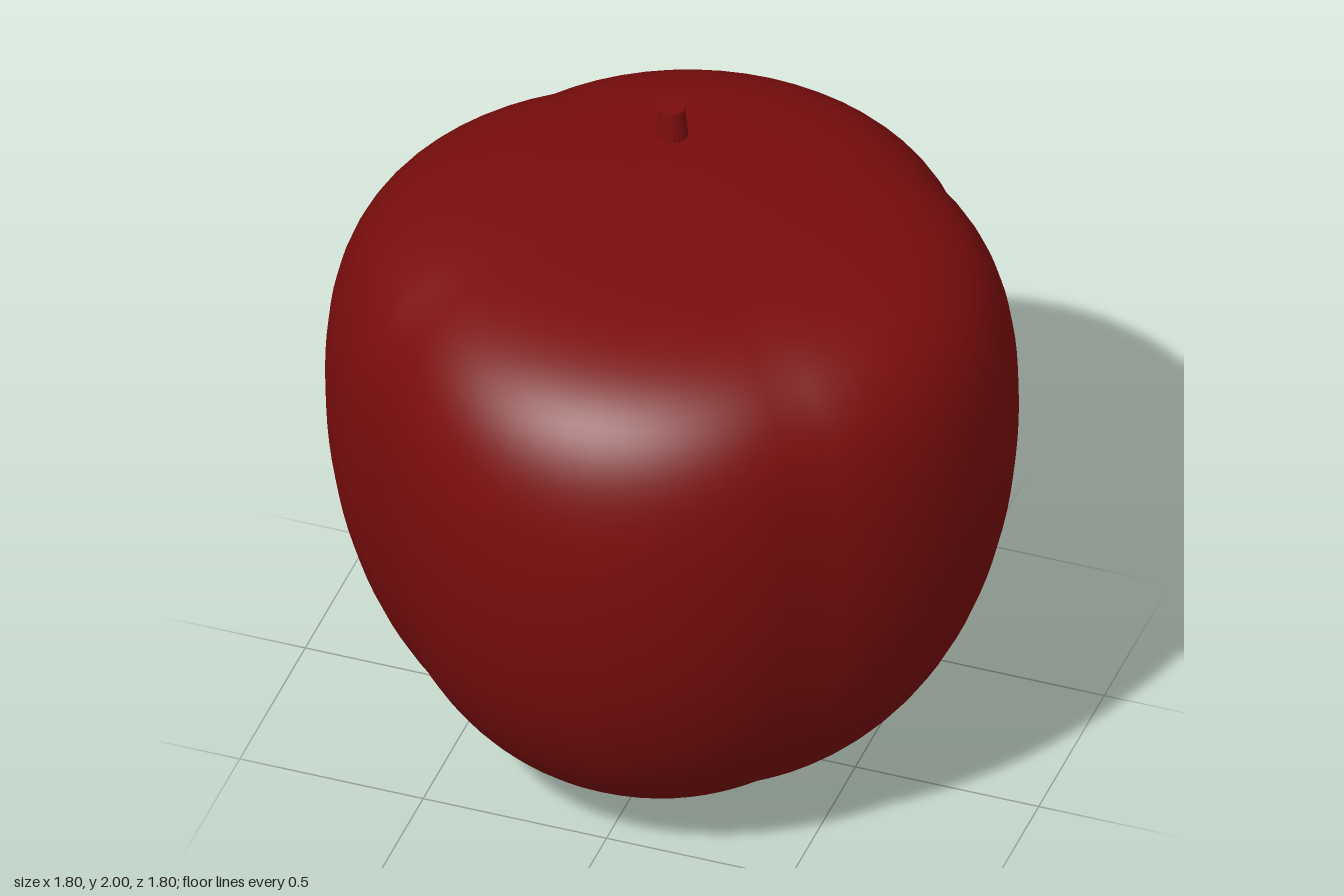
import * as THREE from 'three';
import { mergeVertices } from 'three/addons/utils/BufferGeometryUtils.js';

const TOP = 1.675, WIDEST = 1.1, RADIUS = 0.9;

// Half outline from the bottom pole to the top pole
function bodyProfile() {
  const v = (x, y) => new THREE.Vector2(x, y);
  const lower = new THREE.CubicBezierCurve(v(0, 0), v(0.65, 0), v(RADIUS, 0.55), v(RADIUS, WIDEST));
  const upper = new THREE.CubicBezierCurve(v(RADIUS, WIDEST), v(RADIUS, 1.65), v(0.65, TOP), v(0, TOP));
  return [...lower.getPoints(28), ...upper.getPoints(28).slice(1)];
}

// Four shallow lobes: arcs of radius 0.75 meeting at the diagonals
function lobe(angle) {
  const a = angle - Math.round(angle / (Math.PI / 2)) * (Math.PI / 2);
  return (0.15 * Math.cos(a) + Math.sqrt(0.5625 - 0.0225 * Math.sin(a) ** 2)) / RADIUS;
}

function bodyGeometry() {
  const lathe = new THREE.LatheGeometry(bodyProfile(), 72);
  const p = lathe.attributes.position;
  for (let i = 0; i < p.count; i++) {
    const x = p.getX(i), z = p.getZ(i), k = lobe(Math.atan2(z, x));
    p.setXYZ(i, x * k, p.getY(i), z * k);
  }
  // Weld the seam and poles so the shading stays smooth
  lathe.deleteAttribute('uv');
  lathe.deleteAttribute('normal');
  const geometry = mergeVertices(lathe, 1e-5);
  geometry.computeVertexNormals();
  return geometry;
}

export function createModel() {
  const group = new THREE.Group();
  group.name = 'apple';
  const red = new THREE.MeshStandardMaterial({ color: 0x7a0d0d });
  red.name = 'dark red';

  const body = new THREE.Mesh(bodyGeometry(), red);
  body.name = 'body';

  // Short faceted stem, hovering above the flat crown
  const stemGeometry = new THREE.CylinderGeometry(0.034, 0.042, 0.085, 16).toNonIndexed();
  stemGeometry.computeVertexNormals();
  const stem = new THREE.Mesh(stemGeometry, red);
  stem.name = 'stem';
  stem.position.y = 2 - 0.0425;

  group.add(body, stem);
  return group;
}
